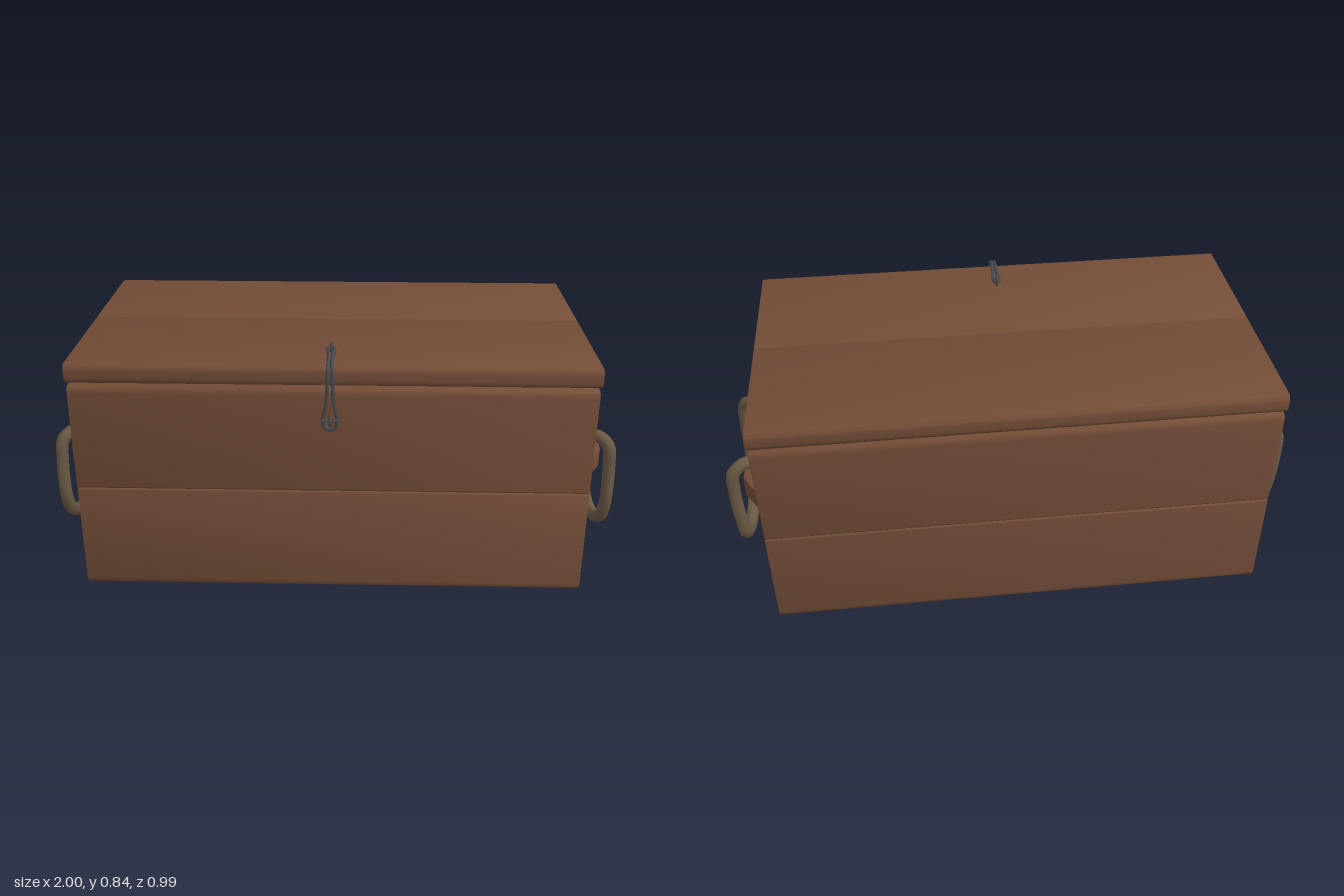
import * as THREE from 'three';
import { toCreasedNormals } from 'three/addons/utils/BufferGeometryUtils.js';
import { RoundedBoxGeometry } from 'three/addons/geometries/RoundedBoxGeometry.js';

const material = (name, color) => {
  const m = new THREE.MeshStandardMaterial({ color });
  m.name = name;
  return m;
};

export function createModel() {
  const wood = material('brown wood', 0x734d37);
  const rope = material('tan rope', 0x6b5a45);
  const iron = material('dark iron', 0x4a4a4e);
  const chest = new THREE.Group();
  chest.name = 'chest';

  const add = (name, geometry, mat, parent = chest) => {
    const mesh = new THREE.Mesh(geometry, mat);
    mesh.name = name;
    parent.add(mesh);
    return mesh;
  };

  // Box from its lower and upper limits
  const block = (name, x0, x1, y0, y1, z0, z1, r = 0.003) => {
    const g = new RoundedBoxGeometry(x1 - x0, y1 - y0, z1 - z0, 1, r);
    g.translate((x0 + x1) / 2, (y0 + y1) / 2, (z0 + z1) / 2);
    return add(name, g, wood);
  };

  // Board running along x; profile points are [z, y, corner radius]
  const board = (name, length, points) => {
    const bevel = 0.006;
    const at = (i) => points[(i + points.length) % points.length];
    const shape = new THREE.Shape();
    points.forEach(([z, y, r = 0], i) => {
      const toward = ([z2, y2]) => {
        const d = Math.hypot(z2 - z, y2 - y);
        return [z + ((z2 - z) * r) / d, y + ((y2 - y) * r) / d];
      };
      const a = toward(at(i - 1)), b = toward(at(i + 1));
      if (i === 0) shape.moveTo(...a);
      else shape.lineTo(...a);
      if (r) shape.quadraticCurveTo(z, y, ...b);
    });
    const g = new THREE.ExtrudeGeometry(shape, {
      depth: length - 2 * bevel, curveSegments: 4, bevelEnabled: true,
      bevelThickness: bevel, bevelSize: bevel, bevelOffset: -bevel, bevelSegments: 2,
    });
    g.translate(0, 0, -(length / 2 - bevel));
    g.rotateY(-Math.PI / 2);
    return add(name, toCreasedNormals(g, 0.7), wood);
  };

  // Long front and back planks, two high, rounded on the outside
  for (const [side, inner, outer] of [['front', 0.395, 0.455], ['back', -0.43, -0.49]]) {
    board(side + 'LowerPlank', 1.7, [[inner, 0.003], [outer, 0, 0.025], [outer, 0.373, 0.008], [inner, 0.373]]);
    board(side + 'UpperPlank', 1.7, [[inner, 0.374], [outer, 0.374, 0.008], [outer, 0.741, 0.025], [inner, 0.741]]);
  }

  // Lid planks, notched underneath for the wall tabs
  board('lidFrontPlank', 1.71, [
    [-0.019, 0.75, 0.008], [0.16, 0.75], [0.16, 0.781], [0.35, 0.781], [0.35, 0.748],
    [0.455, 0.748, 0.02], [0.455, 0.815, 0.025], [-0.019, 0.815, 0.008]]);
  board('lidBackPlank', 1.71, [
    [-0.02, 0.815, 0.008], [-0.49, 0.815, 0.025], [-0.49, 0.748, 0.02], [-0.385, 0.748],
    [-0.385, 0.781], [-0.195, 0.781], [-0.195, 0.75], [-0.02, 0.75, 0.008]]);

  block('floor', -0.835, 0.835, 0.012, 0.05, -0.43, 0.395);

  const tube = (name, points, radius, mat, parent, closed = false, segments = 60, sides = 8) => {
    const curve = new THREE.CatmullRomCurve3(points.map((p) => new THREE.Vector3(...p)), closed);
    return add(name, new THREE.TubeGeometry(curve, segments, radius, sides, closed), mat, parent);
  };

  // Ends: wall planks, tabs, handle bar and knotted rope
  for (const s of [1, -1]) {
    const side = s > 0 ? 'left' : 'right';
    const [x0, x1] = s > 0 ? [0.785, 0.84] : [-0.84, -0.785];
    [[0.003, 0.248], [0.249, 0.496], [0.497, 0.744]].forEach(([y0, y1], i) =>
      block(side + 'EndPlank' + (i + 1), x0, x1, y0, y1, -0.426, 0.391));

    // Wedge-shaped tabs reaching up into the lid
    for (const [z0, z1] of [[0.161, 0.349], [-0.384, -0.196]]) {
      const wedge = new THREE.Shape([[0.79, 0.58], [0.838, 0.58], [0.849, 0.73], [0.849, 0.779], [0.79, 0.779]]
        .map(([x, y]) => new THREE.Vector2(s * x, y)));
      const g = new THREE.ExtrudeGeometry(wedge, { depth: z1 - z0, bevelEnabled: false });
      g.translate(0, 0, z0);
      add(side + 'EndTab', g, wood);
    }

    const handle = new THREE.Group();
    handle.name = side + 'Handle';
    chest.add(handle);

    // Bar with tapered ends
    const bar = new THREE.Shape([[0.83, 0.274], [0.88, 0.274], [0.932, 0.19], [0.932, -0.225], [0.88, -0.31], [0.83, -0.31]]
      .map(([x, z]) => new THREE.Vector2(s * x, -z)));
    const barGeometry = new THREE.ExtrudeGeometry(bar, {
      depth: 0.069, bevelEnabled: true, bevelThickness: 0.008, bevelSize: 0.008, bevelOffset: -0.008, bevelSegments: 2,
    });
    barGeometry.rotateX(-Math.PI / 2).translate(0, 0.348, 0);
    add('handleBar', toCreasedNormals(barGeometry, 0.6), wood, handle);

    const ropePart = (name, points, segments) => {
      const r = 0.023;
      const pts = points.map(([x, y, z]) => [s * x, y, z]);
      tube(name, pts, r, rope, handle, false, segments);
      // Closed rope tips
      for (const p of [pts[0], pts[pts.length - 1]])
        add('ropeTip', new THREE.SphereGeometry(r, 8, 6), rope, handle).position.set(...p);
    };
    ropePart('ropeLoop', [
      [0.885, 0.40, 0.125], [0.885, 0.438, 0.133], [0.922, 0.454, 0.163], [0.958, 0.43, 0.194],
      [0.968, 0.35, 0.2], [0.97, 0.2, 0.195], [0.968, 0.13, 0.155], [0.965, 0.088, 0.08],
      [0.965, 0.073, -0.02], [0.967, 0.084, -0.11], [0.97, 0.125, -0.175], [0.974, 0.2, -0.19],
      [0.977, 0.35, -0.194], [0.968, 0.42, -0.194], [0.925, 0.452, -0.18], [0.885, 0.44, -0.168],
      [0.885, 0.40, -0.165]], 80);
    ropePart('knotStrand', [
      [0.885, 0.36, 0.15], [0.89, 0.32, 0.135], [0.895, 0.3, 0.08], [0.9, 0.292, 0.02],
      [0.9, 0.265, -0.04], [0.9, 0.242, -0.09]], 30);
    ropePart('knotWrap', [
      [0.885, 0.36, -0.168], [0.89, 0.312, -0.15], [0.89, 0.295, -0.09], [0.885, 0.315, -0.03],
      [0.92, 0.317, -0.012], [0.937, 0.275, -0.018], [0.925, 0.23, -0.005], [0.91, 0.213, 0.04],
      [0.905, 0.236, 0.078], [0.9, 0.262, 0.03], [0.885, 0.27, -0.02]], 60);
  }

  // Wire hasp bent over the lid edge, mirrored to a closed loop
  const latch = new THREE.Group();
  latch.name = 'latch';
  chest.add(latch);
  const half = [
    [0.01, 0.825, 0.315], [0.006, 0.825, 0.38], [0.006, 0.826, 0.45], [0.007, 0.812, 0.472],
    [0.008, 0.77, 0.476], [0.012, 0.7, 0.473], [0.023, 0.64, 0.47], [0.017, 0.612, 0.47]];
  const wire = [[0, 0.826, 0.298], ...half, [0, 0.607, 0.47],
    ...half.map(([x, y, z]) => [-x, y, z]).reverse()].map(([x, y, z]) => [x - 0.005, y, z]);
  tube('haspWire', wire, 0.0065, iron, latch, true, 90, 6);

  // Staples that hold the hasp
  for (const [name, y, z] of [['lidStaple', 0.825, 0.308], ['frontStaple', 0.642, 0.474]]) {
    const staple = add(name, new THREE.TorusGeometry(0.017, 0.0055, 6, 6), iron, latch);
    staple.rotation.y = Math.PI / 2;
    staple.position.set(-0.005, y, z);
  }
  const pin = add('frontStaplePin', new THREE.CylinderGeometry(0.005, 0.005, 0.056, 6), iron, latch);
  pin.rotation.z = Math.PI / 2;
  pin.position.set(-0.005, 0.642, 0.482);

  return chest;
}
